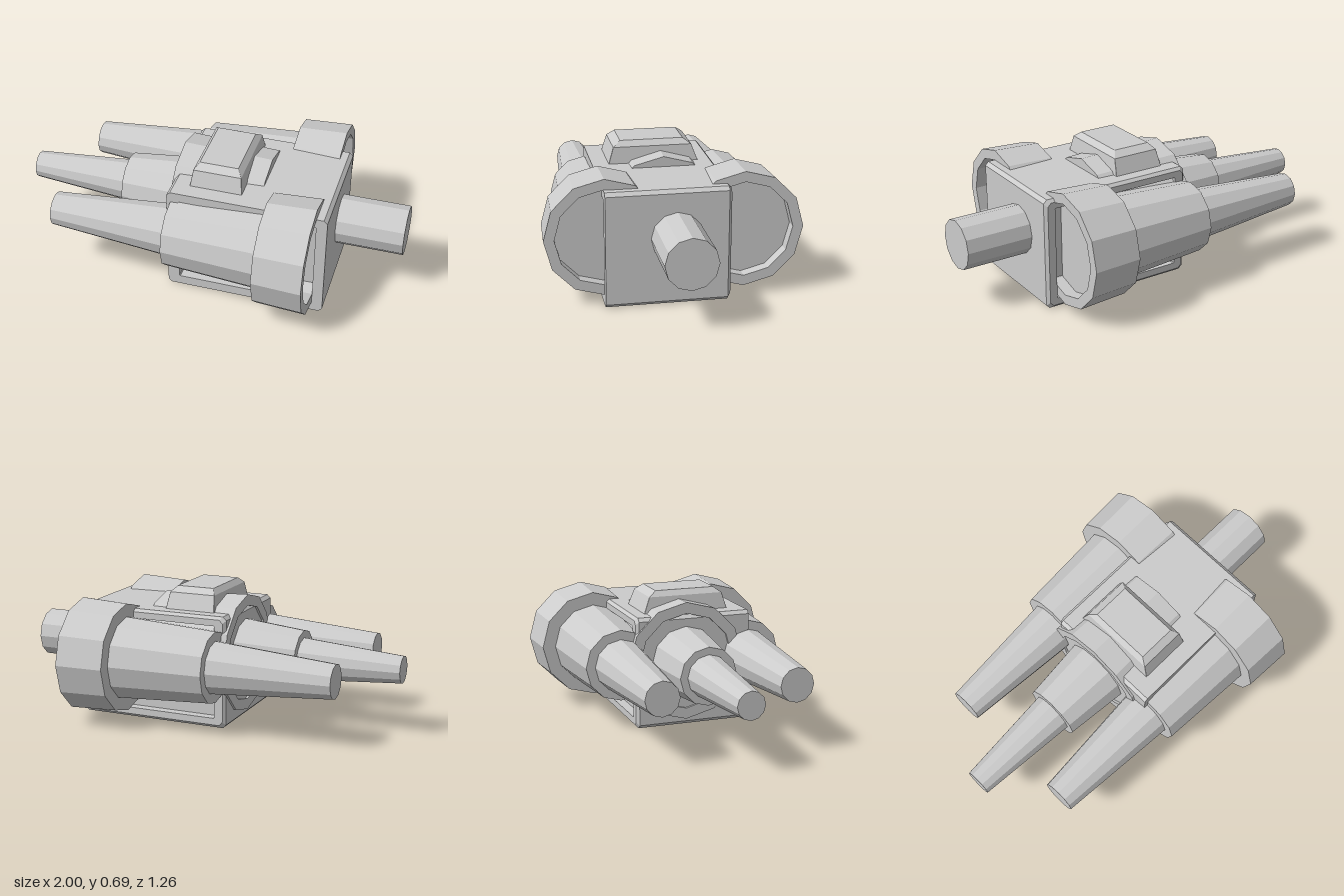
import * as THREE from 'three';

const grey = new THREE.MeshStandardMaterial({ color: 0xcccccc, flatShading: true });

function part(name, geometry) {
  const mesh = new THREE.Mesh(geometry, grey);
  mesh.name = name;
  return mesh;
}

// Twelve-sided turned part along x; profile points are [x, radius] from -x to +x
function turned(name, profile, z) {
  const geo = new THREE.LatheGeometry(profile.map(([x, r]) => new THREE.Vector2(r, x)), 12);
  geo.rotateZ(-Math.PI / 2);
  const mesh = part(name, geo);
  mesh.position.set(0, 0.34, z);
  return mesh;
}

// Rectangle with chamfered corners at depth z, counter-clockwise
function rect(x0, x1, y0, y1, c, z) {
  return [
    [x0 + c, y0], [x1 - c, y0], [x1, y0 + c], [x1, y1 - c],
    [x1 - c, y1], [x0 + c, y1], [x0, y1 - c], [x0, y0 + c],
  ].map(([x, y]) => [x, y, z]);
}

// Skin through successive loops along +z, with both ends capped
function loft(loops) {
  const n = loops[0].length;
  const index = [];
  for (let i = 0; i < loops.length - 1; i++) {
    for (let k = 0; k < n; k++) {
      const a = i * n + k, b = i * n + (k + 1) % n;
      index.push(a, b, b + n, a, b + n, a + n);
    }
  }
  const last = (loops.length - 1) * n;
  for (let k = 1; k < n - 1; k++) {
    index.push(0, k + 1, k, last, last + k, last + k + 1);
  }
  const geo = new THREE.BufferGeometry();
  geo.setAttribute('position', new THREE.Float32BufferAttribute(loops.flat(2), 3));
  geo.setIndex(index);
  geo.computeVertexNormals();
  return geo;
}

export function createModel() {
  const model = new THREE.Group();
  model.name = 'engineBlock';

  // Main housing with a framed recess on both flanks
  const outer = (inset, z) => rect(-0.16 + inset, 0.655 - inset, inset, 0.578 - inset, 0.018, z);
  const opening = (z) => rect(-0.1, 0.6, 0.05, 0.53, 0.004, z);
  model.add(part('housing', loft([
    opening(-0.215), opening(-0.265),
    outer(0.015, -0.265), outer(0, -0.25), outer(0, 0.345),
    opening(0.345), opening(0.275),
  ])));

  // Raised hatch on the roof
  const hatch = loft([
    rect(-0.068, 0.207, -0.27, 0.2, 0.001, 0.55),
    rect(-0.053, 0.193, -0.237, 0.158, 0.001, 0.66),
    rect(-0.03, 0.168, -0.2, 0.118, 0.001, 0.688),
  ]);
  hatch.rotateX(-Math.PI / 2);
  model.add(part('roofHatch', hatch));

  // Stepped side barrels with hollow rear collars
  for (const side of [-1, 1]) {
    model.add(turned(side > 0 ? 'frontBarrel' : 'backBarrel', [
      [-0.765, 0], [-0.765, 0.087], [-0.14, 0.135],
      [-0.14, 0.183], [0.35, 0.212],
      [0.35, 0.28], [0.6, 0.292],
      [0.6, 0.24], [0.54, 0.24], [0.54, 0],
    ], side * 0.34));
  }

  // Central barrel with a hollow front collar sunk into the housing
  model.add(turned('centreBarrel', [
    [-1, 0], [-1, 0.07], [-0.48, 0.11],
    [-0.48, 0.148], [-0.13, 0.183],
    [-0.13, 0.25], [-0.172, 0.25], [-0.172, 0.307],
    [0.29, 0.29], [0.29, 0],
  ], 0));

  // Rear shaft
  model.add(turned('rearShaft', [[0.6, 0], [0.6, 0.127], [1, 0.127], [1, 0]], 0));

  return model;
}
